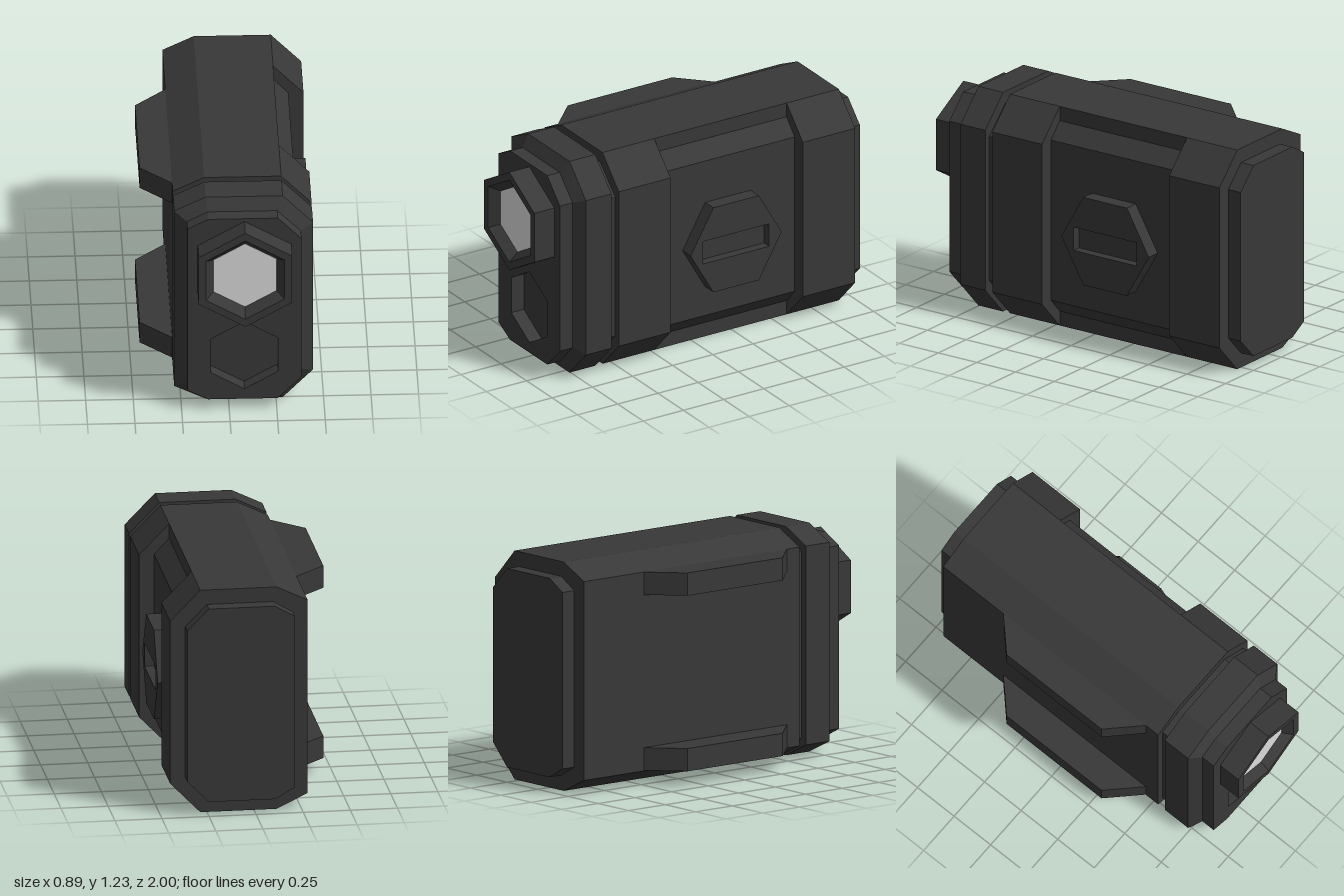
import * as THREE from 'three';

const bodyMat = new THREE.MeshStandardMaterial({ color: 0x383838 });
bodyMat.name = 'charcoal';
const lensMat = new THREE.MeshStandardMaterial({ color: 0xdcdcdc });
lensMat.name = 'pale lens';

const CY = 0.6125; // mid height of the housing

// Eight-sided outline: top half given, mirrored to the bottom
function octagon(half) {
  const top = half.map(([x, y]) => new THREE.Vector2(x, y));
  const bottom = half.map(([x, y]) => new THREE.Vector2(x, 2 * CY - y)).reverse();
  return [...top, ...bottom];
}

// Hexagon with a corner at the given start angle
function hexagon(cx, cy, r, start) {
  return Array.from({ length: 6 }, (_, i) => {
    const a = start + (i * Math.PI) / 3;
    return new THREE.Vector2(cx + r * Math.cos(a), cy + r * Math.sin(a));
  });
}

// Straight prism along z from z0 to z1, with optional holes
function prismGeometry(points, z0, z1, holes = []) {
  const shape = new THREE.Shape(points);
  holes.forEach((h) => shape.holes.push(new THREE.Path(h)));
  const g = new THREE.ExtrudeGeometry(shape, { depth: z1 - z0, bevelEnabled: false });
  return g.translate(0, 0, z0);
}

// Moves the vertices lying on one outline at height z to the matching points of another
function taper(geometry, z, from, to) {
  const p = geometry.attributes.position;
  for (let i = 0; i < p.count; i++) {
    if (Math.abs(p.getZ(i) - z) > 1e-4) continue;
    const k = from.findIndex((v) => Math.hypot(v.x - p.getX(i), v.y - p.getY(i)) < 1e-4);
    if (k >= 0) p.setXY(i, to[k].x, to[k].y);
  }
  geometry.computeVertexNormals();
  return geometry;
}

export function createModel() {
  const model = new THREE.Group();
  model.name = 'flashlightModule';
  const add = (name, geometry, material = bodyMat, parent = model) => {
    const mesh = new THREE.Mesh(geometry, material);
    mesh.name = name;
    parent.add(mesh);
    return mesh;
  };

  const full = octagon([[-0.285, 1.145], [-0.12, 1.225], [0.285, 1.225], [0.445, 1.06]]);
  const recessed = octagon([
    [-0.285, 1.145], [-0.12, 1.225], [0.285, 1.225], [0.285, 1.145], [0.365, 1.06],
  ]);
  const groove = octagon([[-0.25, 1.115], [-0.11, 1.163], [0.26, 1.163], [0.41, 1.015]]);
  const face = octagon([[-0.22, 1.103], [-0.11, 1.16], [0.255, 1.16], [0.38, 1.033]]);
  const back = octagon([[-0.205, 1.085], [-0.1, 1.145], [0.25, 1.145], [0.365, 1.028]]);

  // Housing, from back to front
  add('backCap', prismGeometry(back, -1, -0.92));
  add('rearHousing', prismGeometry(full, -0.92, -0.595));
  add('sideRecess', prismGeometry(recessed, -0.595, 0.228));
  add('middleHousing', prismGeometry(full, 0.228, 0.55));
  add('groove', prismGeometry(groove, 0.55, 0.595));
  add('frontRing', prismGeometry(full, 0.595, 0.755));
  add('frontBevel', taper(prismGeometry(full, 0.755, 0.797), 0.797, full, face));

  // Front plate with a sunken hexagon
  const socket = hexagon(0.08, 0.329, 0.204, Math.PI / 2);
  add('frontPlate', prismGeometry(face, 0.797, 0.875, [socket]));

  // Lamp: hexagonal base, bezel with a tapering mouth, and lens
  const lamp = new THREE.Group();
  lamp.name = 'lamp';
  model.add(lamp);
  const hex = (r) => hexagon(0.08, 0.859, r, Math.PI / 2);
  add('lampBase', prismGeometry(hex(0.284), 0.875, 0.945), bodyMat, lamp);
  const bezel = prismGeometry(hex(0.284), 0.945, 1, [hex(0.238)]);
  add('lampBezel', taper(bezel, 0.945, hex(0.238), hex(0.19)), bodyMat, lamp);
  add('lens', prismGeometry(hex(0.192), 0.944, 0.949), lensMat, lamp);

  // Slotted hexagonal cap in the side recess
  const cap = new THREE.Group();
  cap.name = 'sideCap';
  cap.position.set(0.365, 0.575, -0.18);
  cap.rotation.y = Math.PI / 2;
  model.add(cap);
  const capHex = hexagon(0, 0, 0.283, 0);
  const slot = [[-0.205, -0.065], [0.205, -0.065], [0.205, 0.065], [-0.205, 0.065]]
    .map(([x, y]) => new THREE.Vector2(x, y));
  add('capBase', prismGeometry(capHex, 0, 0.03), bodyMat, cap);
  add('capSlotPlate', prismGeometry(capHex, 0.03, 0.08, [slot]), bodyMat, cap);

  // Two mounting flanges on the other side
  const flange = [[-0.28, -0.515], [-0.28, 0.47], [-0.45, 0.3], [-0.45, -0.35]]
    .map(([x, z]) => new THREE.Vector2(x, z));
  [['upperFlange', 1.145], ['lowerFlange', 0.205]].forEach(([name, top]) => {
    const g = prismGeometry(flange, 0, 0.122).rotateX(Math.PI / 2);
    add(name, g).position.y = top;
  });

  return model;
}
